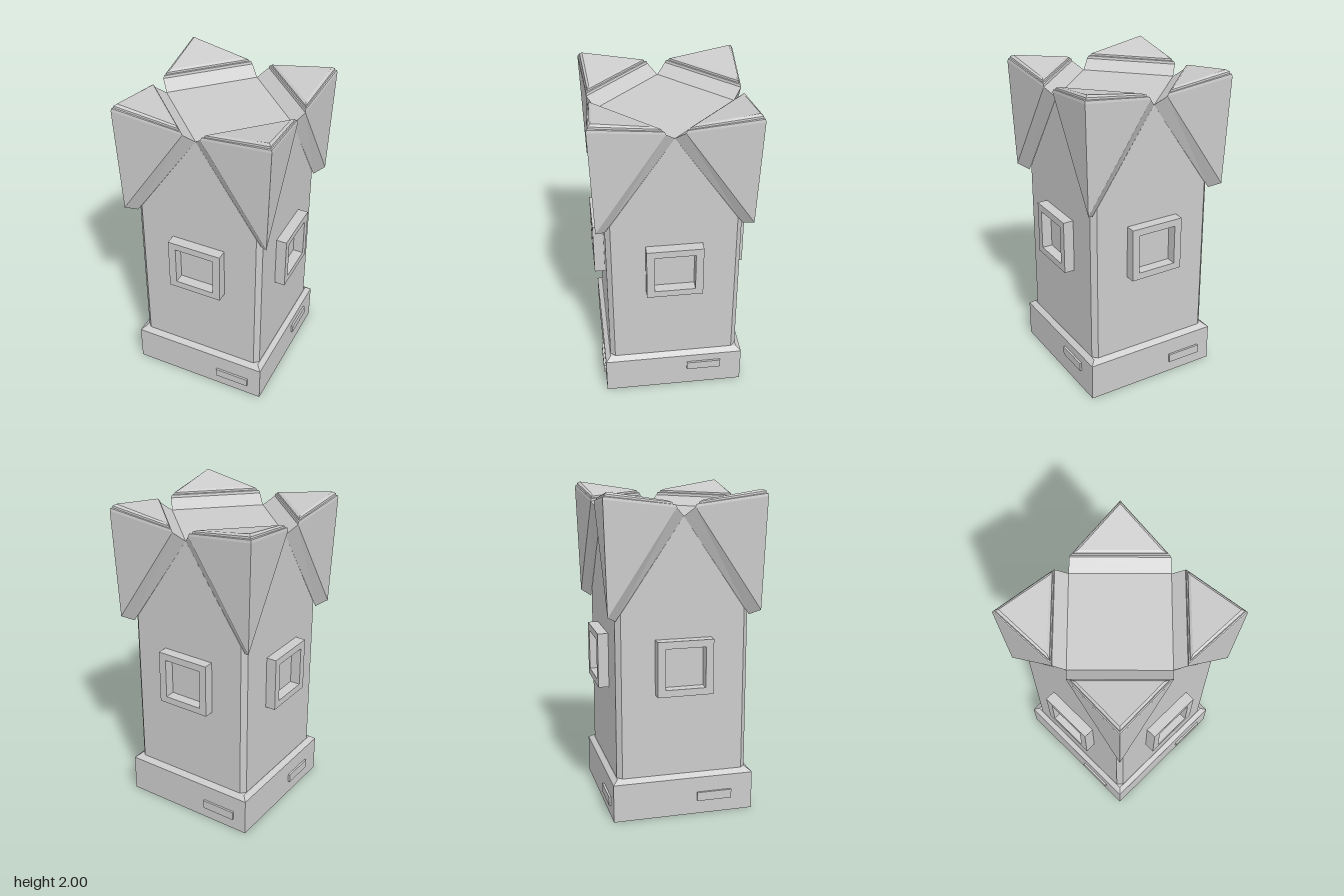
import * as THREE from 'three';
import { ConvexGeometry } from 'three/addons/geometries/ConvexGeometry.js';

const stone = new THREE.MeshStandardMaterial({ color: 0xcccccc, flatShading: true });

function mesh(name, geometry) {
  const m = new THREE.Mesh(geometry, stone);
  m.name = name;
  return m;
}

// Shaft: chamfered square whose four walls end in gables around a diamond-shaped flat top
function shaftGeometry() {
  const w = 0.41, c = 0.38, pts = [];
  for (const y of [0.24, 1.29])
    for (const sx of [-1, 1])
      for (const sz of [-1, 1])
        pts.push(new THREE.Vector3(sx * w, y, sz * c), new THREE.Vector3(sx * c, y, sz * w));
  for (const s of [-1, 1])
    pts.push(new THREE.Vector3(s * w, 1.85, 0), new THREE.Vector3(0, 1.85, s * w));
  return new ConvexGeometry(pts);
}

// Plinth: square block with a sloped top edge
function plinthGeometry() {
  const pts = [];
  for (const [y, r] of [[0, 0.443], [0.24, 0.443], [0.265, 0.412]])
    for (const sx of [-1, 1])
      for (const sz of [-1, 1]) pts.push(new THREE.Vector3(sx * r, y, sz * r));
  return new ConvexGeometry(pts);
}

// Square window frame with an opening
function frameGeometry() {
  const rect = (Type, x, y0, y1) => new Type([
    new THREE.Vector2(-x, y0), new THREE.Vector2(x, y0),
    new THREE.Vector2(x, y1), new THREE.Vector2(-x, y1)]);
  const shape = rect(THREE.Shape, 0.173, 0.785, 1.125);
  shape.holes.push(rect(THREE.Path, 0.125, 0.828, 1.08));
  return new THREE.ExtrudeGeometry(shape, { depth: 0.075, bevelEnabled: false });
}

// Corner block: flares out of the cut corner, capped by a stepped triangular slab
function cornerGeometry() {
  const V = (x, y, z) => new THREE.Vector3(x, y, z);
  const A = V(0.41, 1.25, 0.41), B = V(0, 1.85, 0.41), C = V(0.41, 1.85, 0);
  const a = V(0.467, 1.285, 0.467), b = V(0.055, 1.905, 0.46), c = V(0.46, 1.905, 0.055);
  const d = V(0.488, 1.96, 0.488);
  const pos = [];
  const tri = (...p) => p.forEach(v => pos.push(v.x, v.y, v.z));
  const quad = (p, q, r, s) => { tri(p, q, r); tri(p, r, s); };
  quad(A, a, b, B);
  quad(A, C, c, a);
  quad(B, b, c, C);
  tri(a, d, b);
  tri(a, c, d);
  // cap steps: [inset fraction, rise]
  const outer = [d, c, b];
  const inner = [V(0.46, 0, 0.46), V(0.44, 0, 0.11), V(0.11, 0, 0.44)];
  let loop = outer;
  for (const [t, rise] of [[0.12, 0.016], [0.38, 0.019], [0.45, 0.03], [1, 0.04]]) {
    const next = outer.map((p, i) => V(
      THREE.MathUtils.lerp(p.x, inner[i].x, t), p.y + rise,
      THREE.MathUtils.lerp(p.z, inner[i].z, t)));
    for (let i = 0; i < 3; i++) {
      const j = (i + 1) % 3;
      quad(loop[i], loop[j], next[j], next[i]);
    }
    loop = next;
  }
  tri(...loop);
  const g = new THREE.BufferGeometry();
  g.setAttribute('position', new THREE.Float32BufferAttribute(pos, 3));
  g.computeVertexNormals();
  return g;
}

export function createModel() {
  const model = new THREE.Group();
  model.name = 'tower';
  model.add(mesh('plinth', plinthGeometry()), mesh('shaft', shaftGeometry()));

  const frame = frameGeometry(), corner = cornerGeometry();
  // Plaque per side: [x centre, y centre, width]
  const plaques = [[0.243, 0.103, 0.225], [0.195, 0.158, 0.22], [0.243, 0.103, 0.225], [0.195, 0.115, 0.22]];

  plaques.forEach(([x, y, w], i) => {
    const side = new THREE.Group();
    side.name = 'side' + (i + 1);
    side.rotation.y = i * Math.PI / 2;
    const win = mesh('windowFrame', frame);
    win.position.z = 0.4;
    const plaque = mesh('plaque', new THREE.BoxGeometry(w, 0.056, 0.03));
    plaque.position.set(x, y, 0.441);
    side.add(win, plaque, mesh('cornerBlock', corner));
    model.add(side);
  });
  return model;
}
